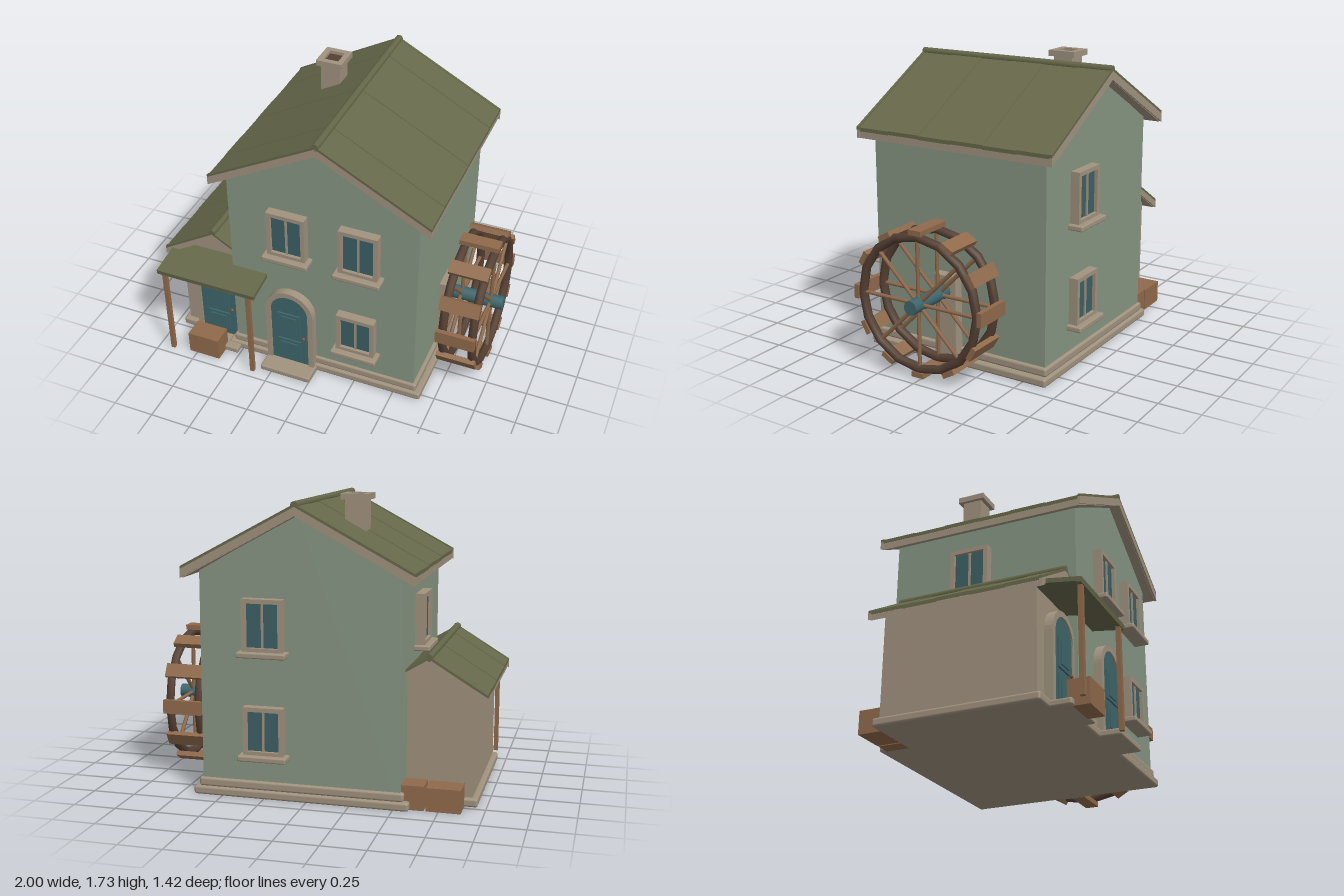
import * as THREE from 'three';
import { RoundedBoxGeometry } from 'three/addons/geometries/RoundedBoxGeometry.js';

const mat = (name, color) => {
  const m = new THREE.MeshStandardMaterial({ color });
  m.name = name;
  return m;
};
const M = {
  wall: mat('sage wall', 0x869582),
  stone: mat('tan stone', 0xa0927e),
  roof: mat('moss roof', 0x66684a),
  teal: mat('teal paint', 0x3e666b),
  glass: mat('window glass', 0x3d6065),
  wood: mat('light wood', 0x8f6a4b),
  dark: mat('dark wood', 0x553f33),
  knob: mat('copper knob', 0x8a5232),
};

const add = (parent, name, geo, material, x = 0, y = 0, z = 0) => {
  const m = new THREE.Mesh(geo, material);
  m.name = name;
  m.position.set(x, y, z);
  parent.add(m);
  return m;
};
// Box given by its minimum and maximum on each axis, optionally with soft edges
const block = (parent, name, material, [x0, x1], [y0, y1], [z0, z1], r = 0) => {
  const s = [x1 - x0, y1 - y0, z1 - z0];
  const geo = r ? new RoundedBoxGeometry(...s, 2, r) : new THREE.BoxGeometry(...s);
  return add(parent, name, geo, material, (x0 + x1) / 2, (y0 + y1) / 2, (z0 + z1) / 2);
};
const poly = (pts) => new THREE.Shape(pts.map(([x, y]) => new THREE.Vector2(x, y)));
const extrude = (shape, depth) =>
  new THREE.ExtrudeGeometry(shape, { depth, bevelEnabled: false, curveSegments: 10 });

// Inverted V of constant vertical thickness
const chevron = (half, drop, t) =>
  poly([[-half, -drop - t], [0, -t], [half, -drop - t], [half, -drop], [0, 0], [-half, -drop]]);

function gableRoof(name, cx, apex, half, drop, z0, z1, t, panels) {
  const g = new THREE.Group();
  g.name = name;
  const step = (z1 - z0 - 0.02) / panels;
  for (let i = 0; i < panels; i++) {
    add(g, 'roofPanel', extrude(chevron(half, drop, 0.022), step), M.roof,
      cx, apex - (i % 2) * 0.003, z0 + 0.01 + i * step);
  }
  add(g, 'roofUnderside', extrude(chevron(half - 0.005, drop, t), z1 - z0 - 0.02), M.stone, cx, apex - 0.02, z0 + 0.01);
  for (const z of [z0, z1 - 0.016]) {
    add(g, 'bargeBoard', extrude(chevron(half + 0.004, drop, t + 0.005), 0.016), M.stone, cx, apex - 0.014, z);
    add(g, 'roofEdge', extrude(chevron(half + 0.004, drop, 0.016), 0.016), M.roof, cx, apex + 0.002, z);
  }
  add(g, 'ridgeCap', new THREE.CylinderGeometry(0.022, 0.022, z1 - z0, 8).rotateX(Math.PI / 2), M.roof,
    cx, apex - 0.005, (z0 + z1) / 2);
  return g;
}

// Pentagonal body with gables at both ends
const gabledBody = (half, eave, apex, depth) =>
  extrude(poly([[-half, 0], [half, 0], [half, eave], [0, apex], [-half, eave]]), depth);

// Window facing +z with its sill bottom at the origin
function windowUnit(h) {
  const g = new THREE.Group();
  g.name = 'window';
  const w = 0.118, b = 0.025, y0 = 0.028;
  const frame = poly([[-w, y0], [w, y0], [w, y0 + h], [-w, y0 + h]]);
  frame.holes.push(poly([[b - w, y0 + b], [b - w, y0 + h - b], [w - b, y0 + h - b], [w - b, y0 + b]]));
  add(g, 'windowFrame', extrude(frame, 0.06), M.stone, 0, 0, -0.005);
  block(g, 'windowPane', M.glass, [b - w, w - b], [y0 + b, y0 + h - b], [0, 0.035]);
  block(g, 'mullion', M.stone, [-0.006, 0.006], [y0 + b, y0 + h - b], [0.03, 0.044]);
  block(g, 'windowSill', M.stone, [-0.143, 0.143], [0, 0.032], [-0.005, 0.09], 0.008);
  return g;
}

const arch = (r, y0, spring) => {
  const s = new THREE.Shape();
  s.moveTo(-r, y0);
  s.lineTo(r, y0);
  s.lineTo(r, spring);
  s.absarc(0, spring, r, 0, Math.PI, false);
  s.lineTo(-r, y0);
  return s;
};

// Arched door facing +z, with surround, panels, knob and step
function doorUnit() {
  const g = new THREE.Group();
  g.name = 'door';
  const surround = arch(0.154, 0.03, 0.43);
  surround.holes.push(arch(0.12, 0.03, 0.43));
  add(g, 'doorSurround', extrude(surround, 0.055), M.stone, 0, 0, -0.005);
  add(g, 'doorLeaf', extrude(arch(0.12, 0.03, 0.43), 0.04), M.teal);
  for (const [y0, y1] of [[0.065, 0.215], [0.25, 0.42]]) {
    block(g, 'doorPanel', M.teal, [-0.075, 0.07], [y0, y1], [0.038, 0.05]);
    block(g, 'doorPanelCentre', M.teal, [-0.055, 0.05], [y0 + 0.02, y1 - 0.02], [0.048, 0.057]);
  }
  add(g, 'doorKnob', new THREE.SphereGeometry(0.011, 8, 6), M.knob, 0.092, 0.255, 0.05);
  block(g, 'doorStep', M.stone, [-0.16, 0.165], [0, 0.038], [0, 0.15], 0.01);
  return g;
}

function waterWheel() {
  const g = new THREE.Group();
  g.name = 'waterWheel';
  for (const x of [0.742, 0.922]) {
    add(g, 'wheelRim', new THREE.TorusGeometry(0.386, 0.026, 8, 16).rotateY(Math.PI / 2), M.dark, x);
    for (let i = 0; i < 4; i++) {
      add(g, 'wheelSpoke', new THREE.CylinderGeometry(0.012, 0.012, 0.76, 6), M.wood, x)
        .rotation.x = i * Math.PI / 4;
    }
  }
  for (let i = 0; i < 12; i++) {
    const geo = new THREE.BoxGeometry(0.238, 0.03, 0.082).translate(0.83, 0.415, 0);
    add(g, 'wheelPaddle', geo, M.wood).rotation.x = i * Math.PI / 6;
  }
  add(g, 'wheelAxle', new THREE.CylinderGeometry(0.042, 0.042, 0.38, 12).rotateZ(Math.PI / 2), M.teal, 0.81);
  g.position.set(0, 0.443, 0.01);
  return g;
}

export function createModel() {
  const model = new THREE.Group();
  model.name = 'watermillHouse';

  // Main house
  add(model, 'houseWalls', gabledBody(0.58, 1.3, 1.63, 1.14), M.wall, 0.04, 0, -0.62);
  block(model, 'housePlinth', M.stone, [-0.59, 0.67], [0, 0.05], [-0.65, 0.55], 0.014);
  block(model, 'housePlinthBand', M.stone, [-0.56, 0.64], [0.048, 0.1], [-0.637, 0.535], 0.014);
  model.add(gableRoof('houseRoof', 0.04, 1.685, 0.66, 0.355, -0.7, 0.585, 0.045, 6));

  // Side annex
  add(model, 'annexWalls', gabledBody(0.25, 0.66, 0.81, 0.9), M.stone, -0.67, 0, -0.45);
  block(model, 'annexPlinth', M.stone, [-0.95, -0.5], [0, 0.05], [-0.48, 0.48], 0.014);
  model.add(gableRoof('annexRoof', -0.67, 0.852, 0.325, 0.2, -0.51, 0.515, 0.035, 5));

  // Chimney with open flue
  block(model, 'chimneyShaft', M.stone, [-0.27, -0.15], [1.4, 1.7], [-0.335, -0.215]);
  const cap = poly([[-0.08, -0.085], [0.08, -0.085], [0.08, 0.085], [-0.08, 0.085]]);
  cap.holes.push(poly([[-0.046, -0.05], [-0.046, 0.05], [0.046, 0.05], [0.046, -0.05]]));
  add(model, 'chimneyCap', extrude(cap, 0.035).rotateX(-Math.PI / 2), M.stone, -0.21, 1.69, -0.275);
  block(model, 'chimneyFlue', M.dark, [-0.256, -0.164], [1.68, 1.706], [-0.325, -0.225]);

  // Windows: x, sill y, z, height, turn
  for (const [x, y, z, h, turn] of [
    [-0.16, 0.83, 0.52, 0.3, 0], [0.28, 0.83, 0.52, 0.3, 0], [0.263, 0.235, 0.52, 0.265, 0],
    [0.24, 0.83, -0.62, 0.3, Math.PI], [0.24, 0.235, -0.62, 0.28, Math.PI],
    [-0.54, 0.83, -0.12, 0.3, -Math.PI / 2],
  ]) {
    const w = windowUnit(h);
    w.position.set(x, y, z);
    w.rotation.y = turn;
    model.add(w);
  }

  // Doors
  for (const [x, z] of [[-0.16, 0.52], [-0.675, 0.45]]) {
    const d = doorUnit();
    d.position.set(x, 0, z);
    model.add(d);
  }

  // Porch
  add(model, 'porchRoof', new THREE.BoxGeometry(0.64, 0.026, 0.27), M.roof, -0.635, 0.632, 0.575).rotation.x = 0.14;
  block(model, 'porchFascia', M.roof, [-0.955, -0.315], [0.597, 0.622], [0.685, 0.707]);
  for (const x of [-0.912, -0.362]) {
    block(model, 'porchPost', M.wood, [x - 0.013, x + 0.013], [0, 0.61], [0.677, 0.703]);
  }

  // Crates
  block(model, 'crate', M.wood, [-0.8, -0.597], [0, 0.145], [0.56, 0.685]);
  block(model, 'crate', M.wood, [-0.875, -0.68], [0, 0.135], [-0.605, -0.465]);
  block(model, 'crate', M.wood, [-0.668, -0.52], [0, 0.14], [-0.605, -0.465]);

  // Wheel and its bearing post
  block(model, 'wheelBearingPost', M.stone, [0.6, 0.675], [0, 0.537], [-0.07, 0.085], 0.008);
  model.add(waterWheel());

  return model;
}
